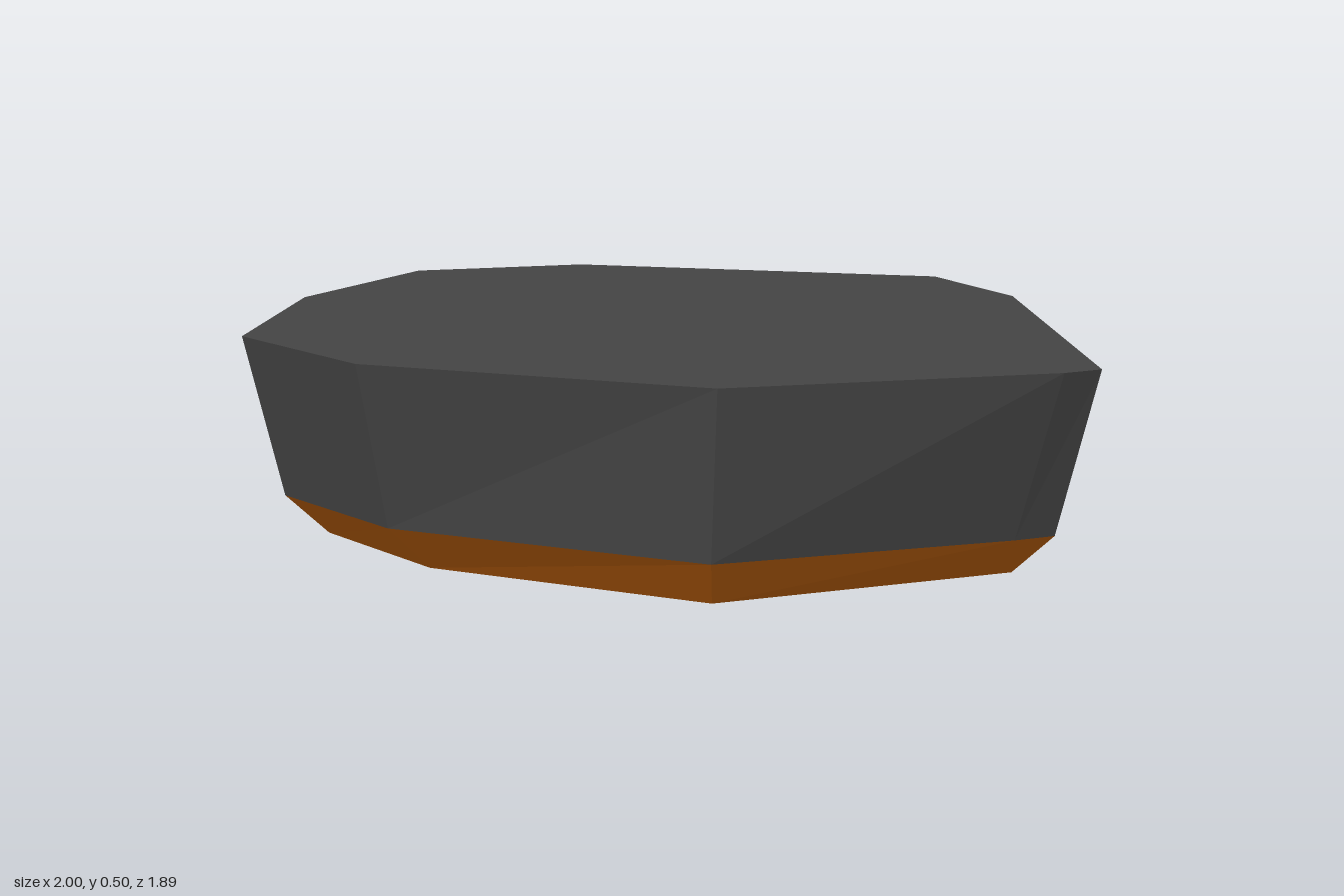
import * as THREE from 'three';

// Irregular ten-sided outlines [x, z], clockwise seen from above
const rim = { y: 0.505, pts: [[-0.8, -0.775], [-0.36, -0.945], [0.65, -0.79], [0.85, -0.44], [1, 0.637],
  [0.915, 0.69], [0.175, 0.942], [-0.65, 0.72], [-1, 0.375], [-1, -0.25]] };
const seam = { y: 0.112, pts: [[-0.73, -0.72], [-0.32, -0.845], [0.603, -0.73], [0.79, -0.405], [0.912, 0.582],
  [0.82, 0.632], [0.16, 0.906], [-0.6, 0.65], [-0.915, 0.345], [-0.915, -0.23]] };
const foot = { y: 0, pts: [[-0.65, -0.645], [-0.31, -0.757], [0.524, -0.643], [0.72, -0.325], [0.822, 0.487],
  [0.74, 0.528], [0.155, 0.816], [-0.52, 0.57], [-0.83, 0.26], [-0.83, -0.145]] };

// Faceted wall between two outlines, closed at the top or the bottom
function slab(name, lower, upper, capTop, material) {
  const at = (ring, i) => {
    const [x, z] = ring.pts[i % ring.pts.length];
    return [x, ring.y, z];
  };
  const pos = [];
  const n = lower.pts.length;
  for (let i = 0; i < n; i++) {
    const a = at(lower, i + 1), b = at(lower, i), c = at(upper, i), d = at(upper, i + 1);
    pos.push(...a, ...b, ...c, ...a, ...c, ...d);
    if (i > 0 && i < n - 1) {
      if (capTop) pos.push(...at(upper, 0), ...d, ...c);
      else pos.push(...at(lower, 0), ...b, ...a);
    }
  }
  const geometry = new THREE.BufferGeometry();
  geometry.setAttribute('position', new THREE.Float32BufferAttribute(pos, 3));
  geometry.computeVertexNormals(); // unshared corners give flat facets
  const mesh = new THREE.Mesh(geometry, material);
  mesh.name = name;
  return mesh;
}

export function createModel() {
  const stone = new THREE.MeshStandardMaterial({ color: 0x444444, flatShading: true });
  stone.name = 'dark grey stone';
  const earth = new THREE.MeshStandardMaterial({ color: 0xc0620c, flatShading: true });
  earth.name = 'orange underside';

  const group = new THREE.Group();
  group.name = 'rockSlab';
  group.add(slab('stoneTop', seam, rim, true, stone)); // flat top and flaring wall
  group.add(slab('orangeBase', foot, seam, false, earth)); // bevelled foot
  return group;
}
